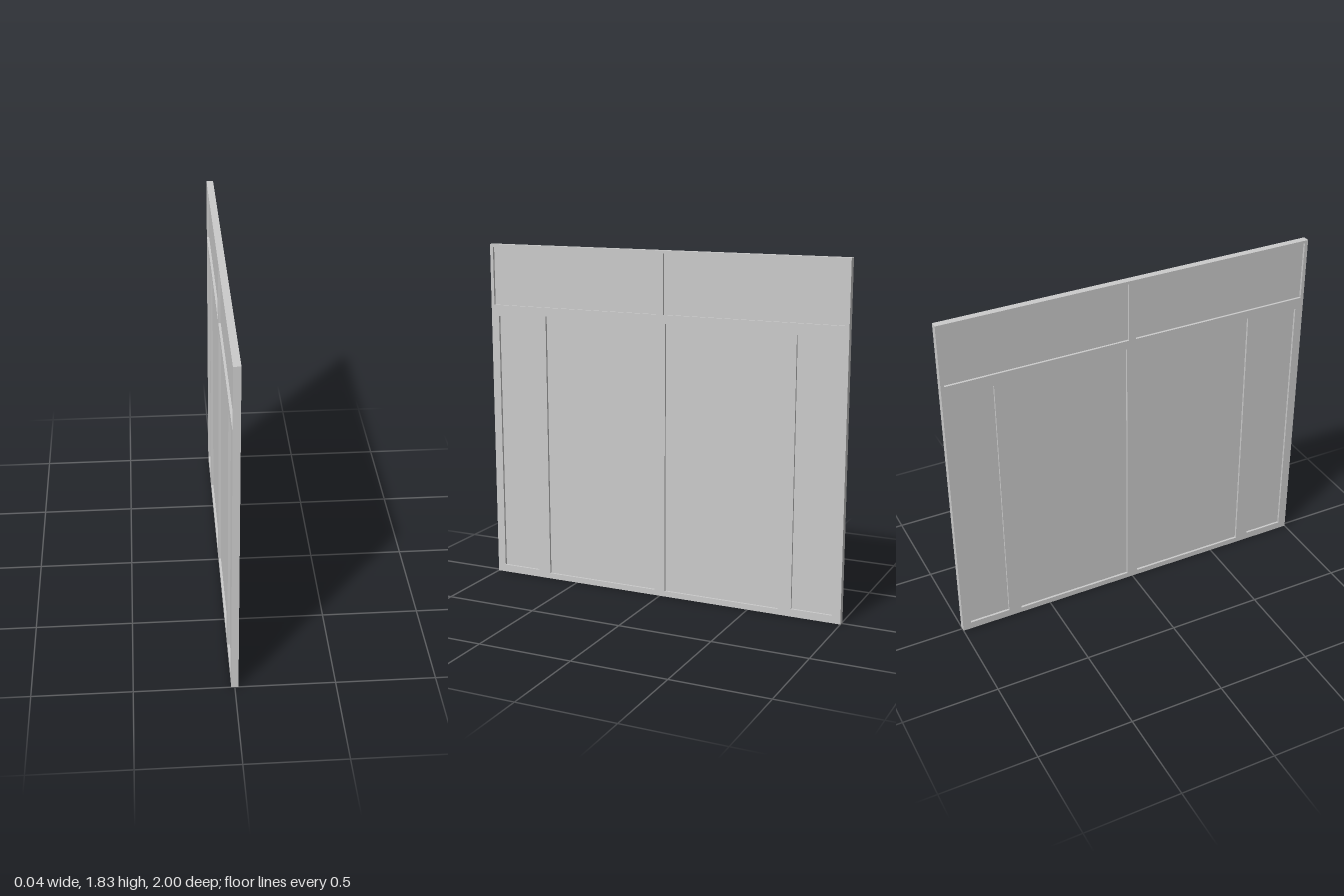
import * as THREE from 'three';

const WIDTH = 2, HEIGHT = 1.83, DEPTH = 0.036, PANE_DEPTH = 0.012;

// Openings on one half: inner z, outer z, bottom y, top y
const OPENINGS = [
  { name: 'transomPane', z0: 0.02, z1: 0.982, y0: 1.505, y1: 1.815 },
  { name: 'doorPane', z0: 0.03, z1: 0.667, y0: 0.03, y1: 1.46 },
  { name: 'sidelightPane', z0: 0.737, z1: 0.955, y0: 0.04, y1: 1.445 },
];

function rectangle(path, x0, x1, y0, y1) {
  path.moveTo(x0, y0);
  path.lineTo(x1, y0);
  path.lineTo(x1, y1);
  path.lineTo(x0, y1);
  path.closePath();
  return path;
}

export function createModel() {
  const model = new THREE.Group();
  model.name = 'doorwayPanel';
  const material = new THREE.MeshStandardMaterial({ color: 0xcccccc });
  const outline = rectangle(new THREE.Shape(), -WIDTH / 2, WIDTH / 2, 0, HEIGHT);

  for (const side of [1, -1]) {
    for (const { name, z0, z1, y0, y1 } of OPENINGS) {
      const a = Math.min(side * z0, side * z1), b = Math.max(side * z0, side * z1);
      outline.holes.push(rectangle(new THREE.Path(), a, b, y0, y1));

      // Thin pane set back from both faces of the frame
      const pane = new THREE.Mesh(new THREE.BoxGeometry(PANE_DEPTH, y1 - y0, b - a), material);
      pane.position.set(0, (y0 + y1) / 2, (a + b) / 2);
      pane.name = name + (side > 0 ? 'Front' : 'Back');
      model.add(pane);
    }
  }

  // Frame cut through by all openings, turned to lie in the y-z plane
  const geometry = new THREE.ExtrudeGeometry(outline, { depth: DEPTH, bevelEnabled: false });
  geometry.translate(0, 0, -DEPTH / 2).rotateY(-Math.PI / 2);
  const frame = new THREE.Mesh(geometry, material);
  frame.name = 'frame';
  model.add(frame);
  return model;
}
